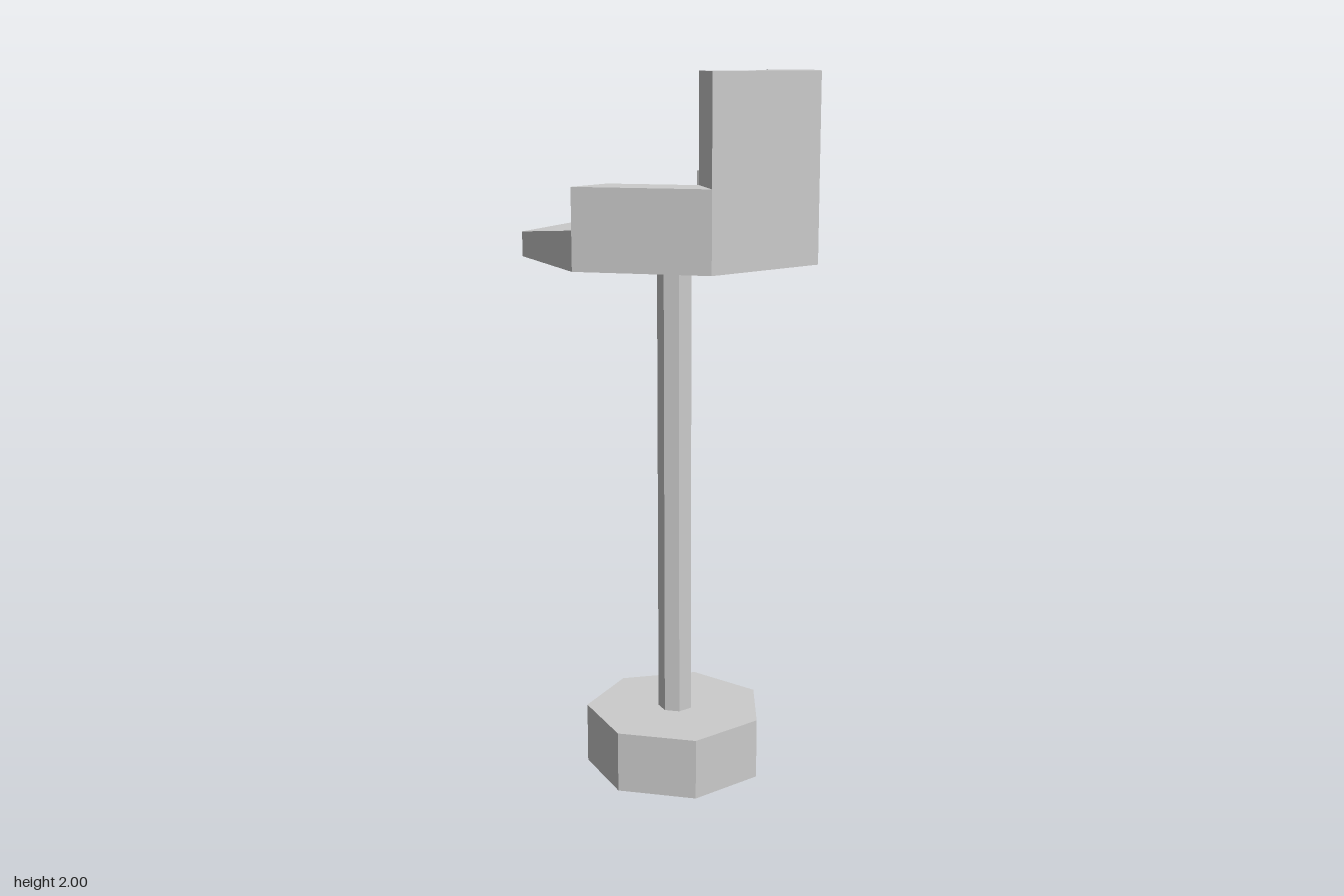
import * as THREE from 'three';

const SIDES = 7, CX = -0.02, STEP = (Math.PI * 2) / SIDES;
const R_OUT = 0.42, R_IN = 0.28;
const SEAT_BOTTOM = 1.5, SEAT_RIM = 1.605, SEAT_FRONT = 1.568;

const flat = new THREE.MeshStandardMaterial({ color: 0xcccccc, flatShading: true });
const smooth = new THREE.MeshStandardMaterial({ color: 0xcccccc });

function add(parent, name, geometry, material = flat) {
  const mesh = new THREE.Mesh(geometry, material);
  mesh.name = name;
  parent.add(mesh);
}

// Seven-sided prism with one corner pointing along +x
function prism(radius, y0, y1, open = false) {
  const g = new THREE.CylinderGeometry(radius, radius, y1 - y0, SIDES, 1, open, Math.PI / 2);
  return g.translate(CX, (y0 + y1) / 2, 0);
}

// Wall following the seat outline from corner k0 to corner k1
function rimWall(k0, k1, y0, y1) {
  const pts = [];
  const corner = (r, k) => new THREE.Vector2(CX + r * Math.cos(k * STEP), r * Math.sin(k * STEP));
  for (let k = k0; k <= k1; k++) pts.push(corner(R_OUT, k));
  for (let k = k1; k >= k0; k--) pts.push(corner(R_IN, k));
  const g = new THREE.ExtrudeGeometry(new THREE.Shape(pts), { depth: y1 - y0, bevelEnabled: false });
  return g.rotateX(-Math.PI / 2).translate(0, y0, 0);
}

// Dished seat surface: rings of seven corners closing on a centre point
function seatTop() {
  const rings = [ // radius, height, height at the two front corners
    [R_OUT, SEAT_RIM, SEAT_FRONT],
    [R_IN, SEAT_RIM - 0.005, 1.572],
    [0.14, 1.545, 1.545],
  ];
  const pos = [], index = [];
  rings.forEach(([r, y, yFront], ring) => {
    for (let k = 0; k < SIDES; k++) {
      const front = k === 3 || k === 4;
      pos.push(CX + r * Math.cos(k * STEP), front ? yFront : y, r * Math.sin(k * STEP));
      const n = (k + 1) % SIDES, o = ring * SIDES, i = o + SIDES;
      if (ring < rings.length - 1) index.push(i + k, o + n, o + k, i + k, i + n, o + n);
      else index.push(i, o + n, o + k);
    }
  });
  pos.push(CX, 1.53, 0);
  const g = new THREE.BufferGeometry();
  g.setAttribute('position', new THREE.Float32BufferAttribute(pos, 3));
  g.setIndex(index);
  g.computeVertexNormals();
  return g;
}

// Seat edge, lowered at the two front corners
function seatEdge() {
  const g = prism(R_OUT, SEAT_BOTTOM, SEAT_RIM, true);
  const p = g.attributes.position;
  for (let i = 0; i < p.count; i++) {
    if (p.getX(i) < -0.3 && p.getY(i) > SEAT_BOTTOM + 0.05) p.setY(i, SEAT_FRONT);
  }
  return g;
}

export function createModel() {
  const model = new THREE.Group();
  model.name = 'barStool';

  add(model, 'base', prism(0.26, 0, 0.175));
  add(model, 'post', prism(0.05, 0.175, SEAT_BOTTOM));

  // Seat
  const seat = new THREE.Group();
  seat.name = 'seat';
  model.add(seat);
  add(seat, 'seatEdge', seatEdge());
  add(seat, 'seatTop', seatTop(), smooth);
  add(seat, 'seatUnderside',
    new THREE.CircleGeometry(R_OUT, SIDES).rotateX(Math.PI / 2).translate(CX, SEAT_BOTTOM, 0));

  // Backrest and the two low arms beside it
  add(model, 'backrest', rimWall(-1, 1, SEAT_RIM - 0.005, 2));
  add(model, 'backArm', rimWall(1, 2, SEAT_RIM - 0.005, 1.715));
  add(model, 'frontArm', rimWall(-2, -1, SEAT_RIM - 0.005, 1.715));

  return model;
}
